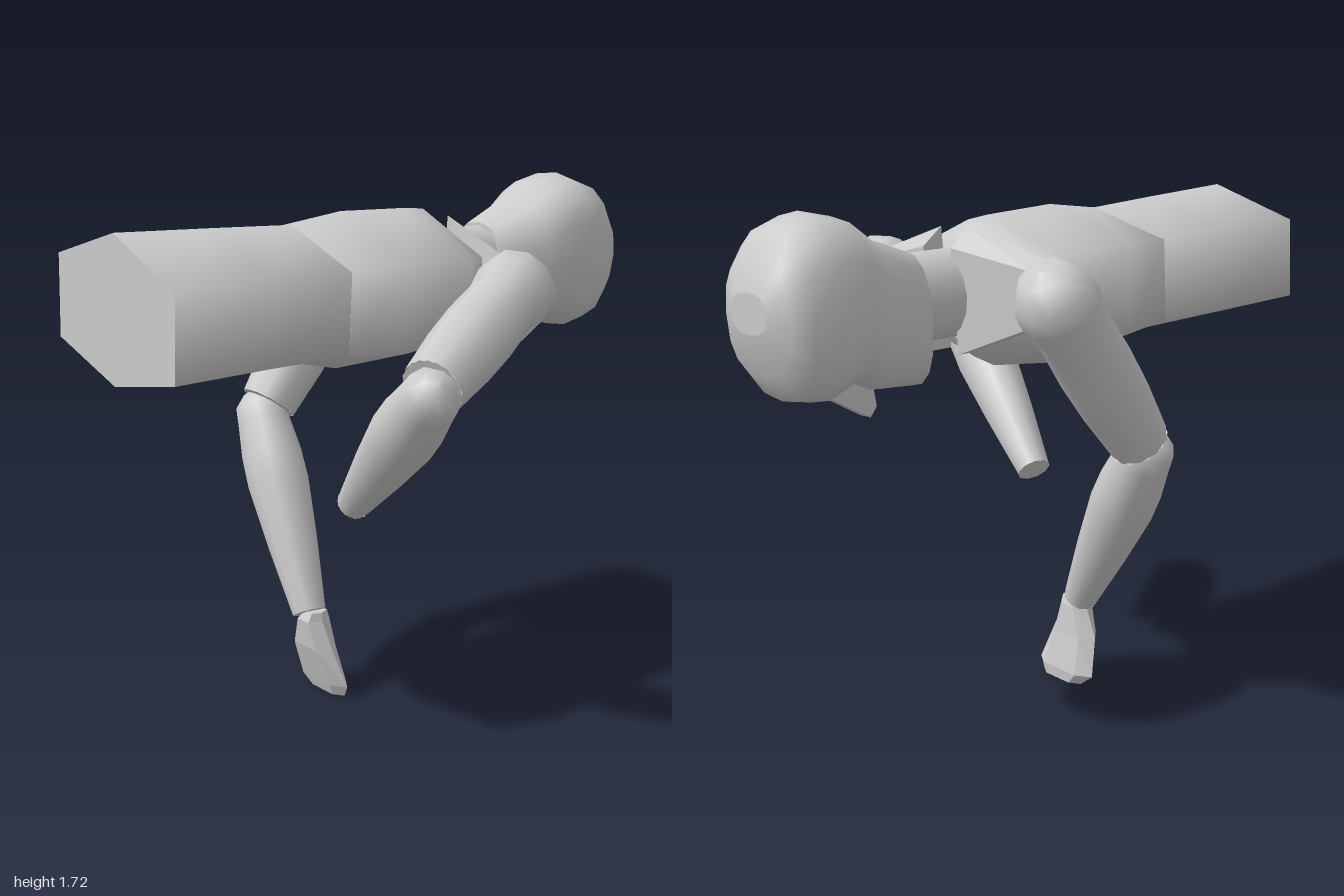
import * as THREE from 'three';
import { ConvexGeometry } from 'three/addons/geometries/ConvexGeometry.js';

const grey = new THREE.MeshStandardMaterial({ color: 0xcccccc, side: THREE.DoubleSide });
const V = (x, y, z) => new THREE.Vector3(x, y, z);

function part(name, geometry, parent) {
  const mesh = new THREE.Mesh(geometry, grey);
  mesh.name = name;
  parent.add(mesh);
  return mesh;
}

// Skin closed rings (counterclockwise from +z, ordered towards -z) with flat caps.
function loft(rings) {
  const n = rings[0].length, last = rings.length - 1;
  const pos = [], idx = [];
  rings.forEach(r => r.forEach(p => pos.push(...p)));
  for (let i = 0; i < last; i++) {
    for (let j = 0; j < n; j++) {
      const a = i * n + j, b = i * n + (j + 1) % n;
      idx.push(a, a + n, b + n, a, b + n, b);
    }
  }
  for (const [ring, front] of [[rings[0], true], [rings[last], false]]) {
    const s = pos.length / 3;
    ring.forEach(p => pos.push(...p));
    for (let j = 1; j < n - 1; j++) idx.push(s, front ? s + j : s + j + 1, front ? s + j + 1 : s + j);
  }
  const g = new THREE.BufferGeometry();
  g.setAttribute('position', new THREE.Float32BufferAttribute(pos, 3));
  g.setIndex(idx);
  g.computeVertexNormals();
  return g;
}

// Six-sided trunk section: half width, ridge, upper side, lower side, belly line.
const trunkRing = ([z, w, top, up, low, bottom]) =>
  [[w, low, z], [w, up, z], [0, top, z], [-w, up, z], [-w, low, z], [0, bottom, z]];

// Rounded head section between a lower (face) and upper (back of head) height.
function headRing([z, rx, top, bottom]) {
  const mid = (top + bottom) / 2, ry = (top - bottom) / 2;
  const soft = v => Math.sign(v) * Math.pow(Math.abs(v), 0.8);
  return Array.from({ length: 16 }, (_, i) => {
    const a = i / 16 * Math.PI * 2;
    return [rx * soft(Math.cos(a)), mid + ry * soft(Math.sin(a)), z];
  });
}

// Limb turned around the line from a to b; profile holds [radius, distance].
function limb(name, a, b, profile, parent) {
  const dir = b.clone().sub(a), len = dir.length();
  const pts = profile.map(([r, t]) => new THREE.Vector2(r, t * len));
  const mesh = part(name, new THREE.LatheGeometry(pts, 10), parent);
  mesh.position.copy(a);
  mesh.quaternion.setFromUnitVectors(V(0, 1, 0), dir.normalize());
  // flat end disc
  const [r, t] = profile[profile.length - 1];
  const end = part(name + 'End', new THREE.CircleGeometry(r, 10), mesh);
  end.rotation.x = -Math.PI / 2;
  end.position.y = t * len;
}

const upperProfile = [[0, -0.19], [0.075, -0.17], [0.125, -0.06], [0.13, 0.05],
  [0.115, 0.2], [0.12, 0.45], [0.115, 0.7], [0.098, 1]];
const foreProfile = [[0, -0.125], [0.05, -0.11], [0.087, -0.05], [0.092, 0.03],
  [0.106, 0.2], [0.108, 0.35], [0.088, 0.65], [0.058, 1]];

export function createModel() {
  const model = new THREE.Group();
  model.name = 'mannequin';

  // Trunk and head share a slight roll.
  const body = new THREE.Group();
  body.name = 'body';
  body.position.set(-0.105, 1.41, 0);
  body.rotation.z = -0.07;
  model.add(body);

  part('abdomen', loft([
    [1, 0.325, 0.25, 0.135, -0.128, -0.21],
    [0.65, 0.308, 0.235, 0.13, -0.13, -0.215],
    [0.34, 0.315, 0.22, 0.13, -0.13, -0.22],
  ].map(trunkRing)), body);

  part('chest', loft([
    [0.37, 0.315, 0.222, 0.13, -0.13, -0.222],
    [0.17, 0.353, 0.25, 0.14, -0.14, -0.272],
    [-0.1, 0.34, 0.24, 0.13, -0.12, -0.24],
    [-0.18, 0.3, 0.232, 0.12, -0.1, -0.2],
    [-0.225, 0.24, 0.19, 0.1, -0.08, -0.17],
    [-0.25, 0.17, 0.13, 0.07, -0.06, -0.13],
  ].map(trunkRing)), body);

  const neck = part('neck', new THREE.CylinderGeometry(0.118, 0.118, 0.32, 16), body);
  neck.rotation.x = -Math.PI / 2;
  neck.scale.z = 1.18;
  neck.position.set(0, 0.015, -0.34);

  part('head', loft([
    [-0.445, 0.13, 0.165, -0.25],
    [-0.62, 0.187, 0.23, -0.235],
    [-0.7, 0.202, 0.29, -0.195],
    [-0.81, 0.21, 0.315, -0.24],
    [-0.91, 0.2, 0.28, -0.22],
    [-0.97, 0.165, 0.2, -0.14],
    [-1, 0.09, 0.105, -0.015],
  ].map(headRing)), body);

  // Nose wedge pointing down from the face
  part('nose', new ConvexGeometry([-1, 1].flatMap(s => [
    V(s * 0.026, -0.315, -0.62), V(s * 0.026, -0.285, -0.595), V(s * 0.03, -0.2, -0.61),
    V(s * 0.018, -0.22, -0.785), V(s * 0.018, -0.18, -0.75),
  ])), body);

  // Wedge-shaped collar plates
  for (const s of [1, -1]) {
    part(s > 0 ? 'leftCollar' : 'rightCollar', new ConvexGeometry([
      V(s * 0.065, 0.215, -0.235), V(s * 0.065, 0.16, -0.31),
      V(s * 0.065, -0.17, -0.3), V(s * 0.065, -0.17, -0.22),
      V(s * 0.38, 0.13, -0.21), V(s * 0.38, 0.1, -0.265),
      V(s * 0.38, -0.06, -0.26), V(s * 0.38, -0.06, -0.2),
    ]), body);
  }

  // Arms
  const arms = {
    left: [V(0.335, 1.42, -0.2), V(0.535, 1.21, 0.33), V(0.56, 1.19, 0.36), V(0.03, 0.72, 0.22)],
    right: [V(-0.52, 1.45, -0.21), V(-0.51, 0.95, 0.17), V(-0.52, 0.91, 0.19), V(-0.165, 0.29, 0.265)],
  };
  for (const [side, [shoulder, upperEnd, elbow, wrist]] of Object.entries(arms)) {
    limb(side + 'UpperArm', shoulder, upperEnd, upperProfile, model);
    limb(side + 'Forearm', elbow, wrist, foreProfile, model);
  }

  // Right hand: flat mitten, sections given as [y, x0, x1, z0, z1]
  const hand = loft([
    [0.3, -0.18, -0.11, 0.22, 0.285],
    [0.27, -0.205, -0.105, 0.21, 0.3],
    [0.17, -0.262, -0.065, 0.2, 0.287],
    [0.04, -0.283, -0.028, 0.176, 0.245],
    [0, -0.235, -0.05, 0.18, 0.23],
  ].map(([y, x0, x1, z0, z1]) => {
    const c = (x1 - x0) * 0.2, m = (z0 + z1) / 2;
    return [[x1, -m, y], [x1 - c, -z0, y], [x0 + c, -z0, y], [x0, -m, y], [x0 + c, -z1, y], [x1 - c, -z1, y]];
  })).toNonIndexed();
  hand.rotateX(-Math.PI / 2);
  hand.computeVertexNormals();
  part('rightHand', hand, model);

  return model;
}
